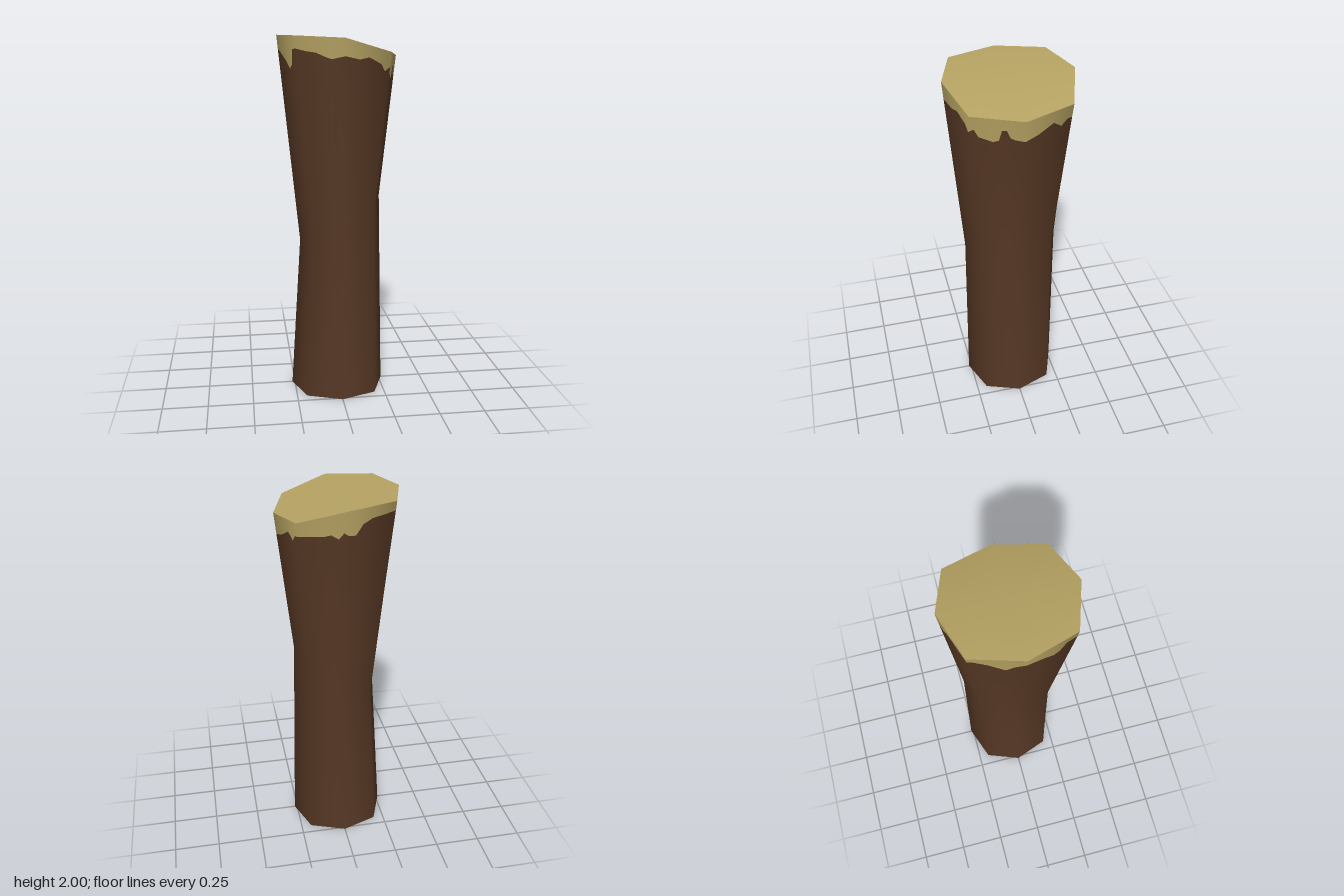
import * as THREE from 'three';

const SIDES = 8;

// Eight-sided ring; reach and diagonal reach in x and z, height given by a rule of x
function ring(cx, rx, rz, diag, height) {
  const pts = [];
  for (let i = 0; i < SIDES; i++) {
    const a = (i * Math.PI) / 4;
    const k = i % 2 ? diag * Math.SQRT2 : 1;
    const x = cx + rx * k * Math.cos(a);
    pts.push(new THREE.Vector3(x, height(x), rz * k * Math.sin(a)));
  }
  return pts;
}

// Peeled bark edge: [position around the ring in sides, depth below the rim]
const PEEL = [
  [0, 0.113], [0.19, 0.108], [0.27, 0.1], [0.34, 0.06], [0.43, 0.062], [0.49, 0.12], [0.6, 0.13],
  [0.86, 0.11], [0.94, 0.07], [1, 0.08], [1.1, 0.105], [1.19, 0.075], [1.47, 0.06], [1.68, 0.085],
  [2, 0.09], [2.28, 0.108], [2.4, 0.1], [2.6, 0.08], [2.81, 0.075], [3, 0.065], [3.2, 0.068],
  [3.3, 0.15], [3.42, 0.17], [3.6, 0.13], [3.8, 0.1], [4, 0.07], [4.2, 0.11], [4.35, 0.165],
  [4.5, 0.13], [4.65, 0.09], [4.9, 0.05], [5, 0.048], [5.25, 0.055], [5.5, 0.06], [5.7, 0.08],
  [5.85, 0.13], [6, 0.125], [6.1, 0.105], [6.2, 0.13], [6.35, 0.1], [6.5, 0.1], [7, 0.07],
  [7.1, 0.07], [7.22, 0.1], [7.4, 0.065], [7.73, 0.1], [8, 0.113],
];

function buildGeometry(points, index, normals) {
  const g = new THREE.BufferGeometry().setFromPoints(points);
  g.setIndex(index);
  if (normals) g.setAttribute('normal', new THREE.Float32BufferAttribute(normals.flatMap((n) => n.toArray()), 3));
  else g.computeVertexNormals();
  return g;
}

// Index for quads between stacked rows, bottom row first
function quadIndex(rows, cols, wrap) {
  const index = [];
  const last = wrap ? cols : cols - 1;
  for (let r = 0; r < rows - 1; r++) {
    for (let i = 0; i < last; i++) {
      const j = (i + 1) % cols;
      const a = r * cols + i, b = r * cols + j, c = a + cols, d = b + cols;
      index.push(a, c, d, a, d, b);
    }
  }
  return index;
}

// Fan that closes a ring
function cap(pts, centre, up) {
  const index = [];
  for (let i = 0; i < SIDES; i++) {
    const j = (i + 1) % SIDES;
    index.push(SIDES, up ? j : i, up ? i : j);
  }
  return buildGeometry([...pts, centre], index);
}

export function createModel() {
  const model = new THREE.Group();
  model.name = 'log';
  const bark = new THREE.MeshStandardMaterial({ color: 0x553724 });
  bark.name = 'bark brown';
  const wood = new THREE.MeshStandardMaterial({ color: 0xb5a262 });
  wood.name = 'bare wood';

  const add = (name, geometry, material) => {
    const mesh = new THREE.Mesh(geometry, material);
    mesh.name = name;
    model.add(mesh);
  };

  // Foot, slanted waist and slanted cut
  const foot = ring(0, 0.265, 0.265, 0.73, () => 0);
  const waist = ring(0.015, 0.225, 0.258, 0.73, (x) => 0.987 + 0.555 * x);
  const rim = ring(0, 0.325, 0.338, 0.76, (x) => 1.985 - x * (x > 0 ? 0.283 : 0.046));
  const rings = [foot, waist, rim];

  // Smooth normals of the plain eight-sided trunk
  const normalAttr = buildGeometry(rings.flat(), quadIndex(3, SIDES, true)).getAttribute('normal');
  const normals = rings.map((_, r) =>
    Array.from({ length: SIDES }, (_, i) => new THREE.Vector3().fromBufferAttribute(normalAttr, r * SIDES + i)));

  // Point along a ring at u sides around
  const around = (list, u) => {
    const i = Math.floor(u);
    return list[i % SIDES].clone().lerp(list[(i + 1) % SIDES], u - i);
  };
  const row = (r) => PEEL.map(([u]) => ({ p: around(rings[r], u), n: around(normals[r], u).normalize() }));
  const footRow = row(0), waistRow = row(1), rimRow = row(2);

  // Ragged line between the bark and the bare wood
  const peelRow = PEEL.map(([, depth], i) => {
    const low = waistRow[i], high = rimRow[i];
    const t = depth / (high.p.y - low.p.y);
    return { p: high.p.clone().lerp(low.p, t), n: high.n.clone().lerp(low.n, t).normalize() };
  });

  const wall = (...rows) => {
    const all = rows.flat();
    return buildGeometry(all.map((v) => v.p), quadIndex(rows.length, PEEL.length, false), all.map((v) => v.n));
  };
  add('barkTrunk', wall(footRow, waistRow, peelRow), bark);
  add('peeledBand', wall(peelRow, rimRow), wood);

  // Cut ends
  add('topCut', cap(rim, new THREE.Vector3(0, 1.985, 0), true), wood);
  add('bottomCut', cap(foot, new THREE.Vector3(0, 0, 0), false), wood);
  return model;
}
